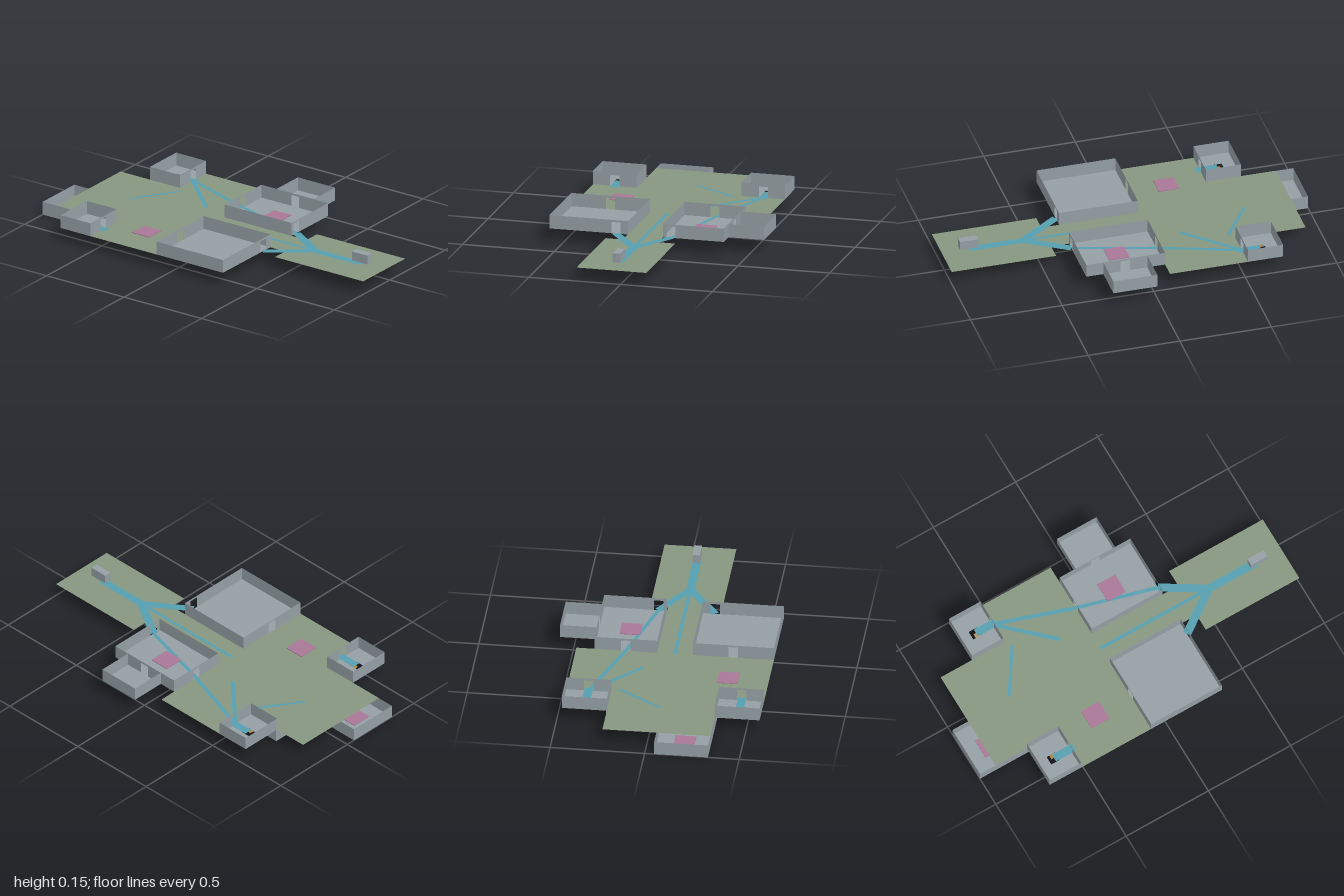
import * as THREE from 'three';

const mat = (name, color) => {
  const m = new THREE.MeshStandardMaterial({ color, side: THREE.DoubleSide });
  m.name = name;
  return m;
};

export function createModel() {
  const model = new THREE.Group();
  const stone = mat('stone grey', 0x949fa4);
  const grass = mat('grass green', 0x86967f);
  const teal = mat('path teal', 0x559fb0);
  const pink = mat('marker pink', 0xa97797);
  const orange = mat('ramp orange', 0xb8843c);

  const G = 0.075;      // ground level
  const WALL = 0.073;   // wall height
  const DOOR_W = 0.05, DOOR_H = 0.062;

  const add = (parent, name, geo, material) => {
    const mesh = new THREE.Mesh(geo, material);
    mesh.name = name;
    parent.add(mesh);
    return mesh;
  };
  const shapeOf = (pts) => new THREE.Shape(pts.map(([x, z]) => new THREE.Vector2(x, -z)));

  // Flat horizontal sheet from [x, z] corners, with optional holes
  const sheet = (parent, name, pts, y, material, holes = []) => {
    const s = shapeOf(pts);
    holes.forEach((h) => s.holes.push(shapeOf(h)));
    const mesh = add(parent, name, new THREE.ShapeGeometry(s).rotateX(-Math.PI / 2), material);
    mesh.position.y = y;
  };
  const rect = (x0, x1, z0, z1) => [[x0, z0], [x1, z0], [x1, z1], [x0, z1]];

  // Upright thin wall from a to b; door is the distance of the opening's middle from a
  const wall = (parent, a, b, y, door) => {
    const dx = b[0] - a[0], dz = b[1] - a[1], len = Math.hypot(dx, dz);
    const pts = [[0, 0]];
    if (door !== undefined) {
      const l = door - DOOR_W / 2, r = door + DOOR_W / 2;
      pts.push([l, 0], [l, DOOR_H], [r, DOOR_H], [r, 0]);
    }
    pts.push([len, 0], [len, WALL], [0, WALL]);
    const s = new THREE.Shape(pts.map((p) => new THREE.Vector2(...p)));
    const mesh = add(parent, 'wall', new THREE.ShapeGeometry(s), stone);
    mesh.position.set(a[0], y, a[1]);
    mesh.rotation.y = -Math.atan2(dz, dx);
  };

  // Open-topped room; doors maps a side index to the opening's place along it
  const room = (name, pts, y, doors = {}, holes = [], skip = -1) => {
    const g = new THREE.Group();
    g.name = name;
    sheet(g, 'floor', pts, y, stone, holes);
    pts.forEach((p, i) => {
      if (i !== skip) wall(g, p, pts[(i + 1) % pts.length], y, doors[i]);
    });
    model.add(g);
  };

  // Ground: back yard, hall, corridor and entrance field
  sheet(model, 'ground', [
    [-0.335, -0.905], [0.235, -0.905], [0.235, -0.523], [0.472, -0.523], [0.472, -0.097],
    [0.045, -0.097], [0.045, 0.43], [0.14, 0.43], [0.14, 1], [-0.24, 1], [-0.24, 0.43],
    [-0.145, 0.43], [-0.145, -0.097], [-0.573, -0.097], [-0.573, -0.523], [-0.335, -0.523],
  ], G, grass);

  // Large rooms beside the corridor (sides run back, left, front, right)
  room('largeRoom', rect(-0.573, -0.145, -0.097, 0.333), G, { 0: 0.214, 2: 0.065 });
  room('middleRoom', rect(0.045, 0.377, -0.097, 0.333), G, { 0: 0.165, 1: 0.217, 2: 0.287 });
  room('annexRoom', rect(0.377, 0.57, 0, 0.24), G, {}, [], 3);

  // Two small rooms with a floor opening and a ramp down to the cellar
  for (const side of [-1, 1]) {
    const cx = -0.05 + side * 0.405;
    const x0 = side < 0 ? -0.573 : 0.235, x1 = side < 0 ? -0.335 : 0.472;
    room('smallRoom', rect(x0, x1, -0.715, -0.523), G, { 2: x1 - cx },
      [rect(cx - 0.024, cx + 0.024, -0.65, -0.6)]);
    sheet(model, 'smallRoomPath', rect(cx - 0.022, cx + 0.022, -0.62, -0.5), G + 0.0005, teal);
    const run = 0.38, drop = 0.071;
    const ramp = add(model, 'ramp',
      new THREE.PlaneGeometry(Math.hypot(run, drop), 0.032).rotateX(-Math.PI / 2), orange);
    ramp.position.set(cx - side * run / 2, G - drop / 2, -0.618);
    ramp.rotation.z = side * Math.atan2(drop, run);
  }

  // L-shaped cellar below the ground
  room('cellar', [[-0.335, -1], [-0.05, -1], [-0.05, -0.713], [0.24, -0.713],
    [0.24, -0.523], [-0.335, -0.523]], 0.001);

  // Teal footpaths between doorways
  const path = (a, b, w = 0.045) => {
    const dx = b[0] - a[0], dz = b[1] - a[1];
    const geo = new THREE.PlaneGeometry(Math.hypot(dx, dz), w).rotateX(-Math.PI / 2);
    const mesh = add(model, 'footpath', geo, teal);
    mesh.position.set((a[0] + b[0]) / 2, G + 0.0008, (a[1] + b[1]) / 2);
    mesh.rotation.y = -Math.atan2(dz, dx);
  };
  path([-0.05, 0.85], [-0.05, 0.56]);
  path([-0.05, 0.56], [-0.21, 0.333]);
  path([-0.05, 0.56], [0.09, 0.333]);
  path([-0.05, 0.56], [-0.05, -0.1], 0.018);
  path([0.09, 0.333], [0.21, -0.097], 0.02);
  path([0.1, -0.256], [0.34, -0.51], 0.022);
  path([0.21, -0.097], [0.35, -0.51], 0.022);
  path([0.2, -0.49], [-0.04, -0.65], 0.016);

  // Square marker pads
  for (const [x, y, z] of [[-0.358, G, -0.312], [0.21, G, 0.12], [-0.195, 0.001, -0.86]]) {
    const pad = add(model, 'markerPad', new THREE.BoxGeometry(0.11, 0.004, 0.11), pink);
    pad.position.set(x, y + 0.004, z);
  }

  // Small block over the entrance field
  const block = add(model, 'entranceBlock', new THREE.BoxGeometry(0.04, 0.05, 0.1), stone);
  block.position.set(-0.05, 0.115, 0.856);

  return model;
}
